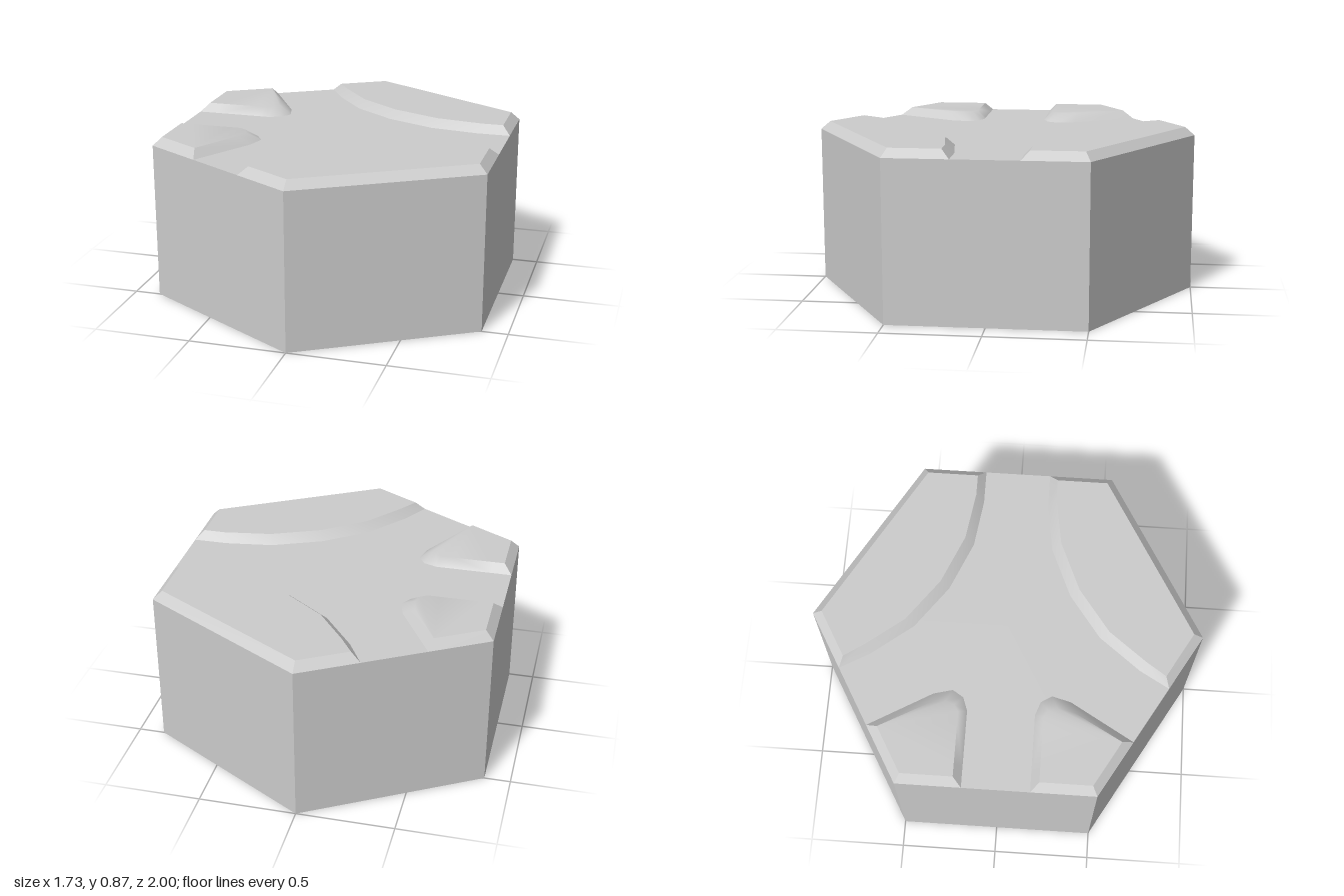
import * as THREE from 'three';

const GROUND = 0.825, TOP = 0.868;

// Outlines as [baseX, baseZ, topX, topZ]; "inner" is the number of wall
// segments facing the path, "soft" the corners whose shading blends into the top.
const LARGE = {
  inner: [3, 9], soft: [],
  ring: [
    [-0.286, -0.835, -0.235, -0.815], [0, -1, 0, -0.95],
    [0.866, -0.5, 0.823, -0.475], [0.866, -0.17, 0.823, -0.212],
    [0.69, -0.17, 0.71, -0.212], [0.44, -0.205, 0.46, -0.25],
    [0.185, -0.313, 0.205, -0.358], [-0.035, -0.475, -0.015, -0.52],
    [-0.2, -0.685, -0.165, -0.712],
  ],
};
const SMALL = {
  inner: [0, 7], soft: [1, 2, 3, 4, 5],
  ring: [
    [-0.577, -0.667, -0.592, -0.608], [-0.39, -0.345, -0.455, -0.36],
    [-0.365, -0.25, -0.44, -0.28], [-0.4, -0.195, -0.455, -0.235],
    [-0.47, -0.17, -0.49, -0.212], [-0.53, -0.17, -0.55, -0.212],
    [-0.76, -0.17, -0.76, -0.212], [-0.866, -0.17, -0.823, -0.212],
    [-0.866, -0.5, -0.823, -0.475],
  ],
};

// Bevelled plateau: sloping walls around a flat top; side = -1 mirrors in z
function plateau({ ring, inner, soft }, side) {
  const positions = [], index = [], cache = new Map();
  const vertex = (i, upper, group) => {
    const key = `${i}|${upper}|${group}`;
    if (!cache.has(key)) {
      const p = ring[i];
      cache.set(key, positions.length / 3);
      positions.push(upper ? p[2] : p[0], upper ? TOP : GROUND, side * (upper ? p[3] : p[1]));
    }
    return cache.get(key);
  };
  const face = (a, b, c) => (side > 0 ? index.push(a, b, c) : index.push(a, c, b));
  const n = ring.length;

  // walls
  for (let i = 0; i < n; i++) {
    const j = (i + 1) % n;
    const group = i >= inner[0] && i < inner[1] ? 'inner' : `edge${i}`;
    const bi = vertex(i, false, group), bj = vertex(j, false, group);
    const ti = vertex(i, true, group), tj = vertex(j, true, group);
    face(bj, bi, ti);
    face(bj, ti, tj);
  }
  // top
  const cap = (i) => vertex(i, true, soft.includes(i) ? 'inner' : 'cap');
  for (let i = 1; i < n - 1; i++) face(cap(0), cap(i + 1), cap(i));

  const geometry = new THREE.BufferGeometry();
  geometry.setAttribute('position', new THREE.Float32BufferAttribute(positions, 3));
  geometry.setIndex(index);
  geometry.computeVertexNormals();
  return geometry;
}

export function createModel() {
  const model = new THREE.Group();
  model.name = 'hexTile';
  const add = (name, geometry, flatShading = false) => {
    const mesh = new THREE.Mesh(geometry, new THREE.MeshStandardMaterial({ color: 0xcccccc, flatShading }));
    mesh.name = name;
    model.add(mesh);
  };

  // hexagonal block, its top being the path
  add('base', new THREE.CylinderGeometry(1, 1, GROUND, 6).translate(0, GROUND / 2, 0), true);

  // raised ground beside the forked path
  for (const [where, side] of [['back', 1], ['front', -1]]) {
    add(`${where}LargePlateau`, plateau(LARGE, side));
    add(`${where}SmallPlateau`, plateau(SMALL, side));
  }
  return model;
}
